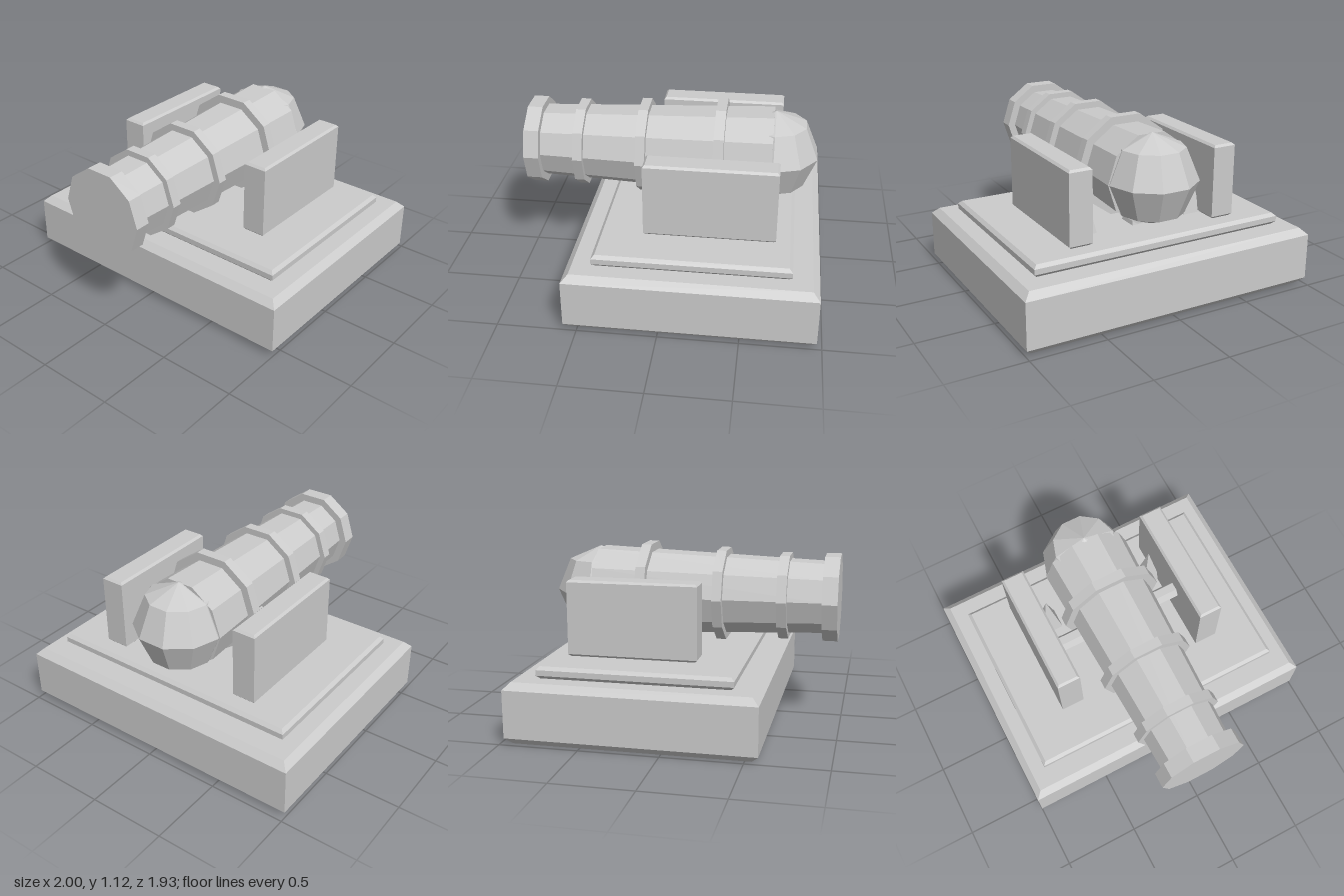
import * as THREE from 'three';

const material = new THREE.MeshStandardMaterial({ color: 0xcccccc, flatShading: true });

function add(parent, name, geometry, x, y, z) {
  const mesh = new THREE.Mesh(geometry, material);
  mesh.name = name;
  mesh.position.set(x, y, z);
  parent.add(mesh);
  return mesh;
}

// Box whose top and bottom edges are chamfered by b; upright edges stay sharp
function chamferedBox(w, h, d, b) {
  const geo = new THREE.BoxGeometry(w, h, d, 1, 3, 1);
  const p = geo.attributes.position;
  for (let i = 0; i < p.count; i++) {
    const y = p.getY(i);
    if (Math.abs(y) > h * 0.4) {
      p.setX(i, Math.sign(p.getX(i)) * (w / 2 - b));
      p.setZ(i, Math.sign(p.getZ(i)) * (d / 2 - b));
    } else {
      p.setY(i, Math.sign(y) * (h / 2 - b));
    }
  }
  geo.computeVertexNormals();
  return geo;
}

// Ten-sided drum along z, with corners at the left and right
function drum(frontRadius, backRadius, length) {
  const geo = new THREE.CylinderGeometry(frontRadius, backRadius, length, 10, 1, false, Math.PI / 2);
  return geo.rotateX(Math.PI / 2);
}

export function createModel() {
  const model = new THREE.Group();
  model.name = 'cannonOnPlinth';

  // Stepped plinth
  add(model, 'base', chamferedBox(2, 0.388, 1.552, 0.043), 0, 0.194, -0.192);
  add(model, 'plate', chamferedBox(1.73, 0.077, 1.22, 0.021), 0, 0.4265, -0.19);

  // Side cheeks
  for (const [side, name] of [[1, 'leftCheek'], [-1, 'rightCheek']]) {
    add(model, name, chamferedBox(0.155, 0.488, 0.83, 0.014), side * 0.508, 0.709, -0.275);
  }

  // Pointed supports under and beside the barrel
  for (const x of [-0.385, 0, 0.385]) {
    const spike = new THREE.ConeGeometry(0.065 * Math.SQRT2, 0.345, 4).rotateY(Math.PI / 4);
    add(model, 'support', spike, x, 0.6375, -0.47);
  }

  // Six-sided axle between the cheeks
  const axle = new THREE.CylinderGeometry(0.053, 0.053, 0.88, 6).rotateZ(Math.PI / 2);
  add(model, 'axle', axle, 0, 0.735, -0.192);

  // Barrel with its rings: [front z, back z, radius]
  const cannon = new THREE.Group();
  cannon.name = 'cannon';
  cannon.position.y = 0.8;
  model.add(cannon);
  add(cannon, 'barrel', drum(0.236, 0.297, 1.535), 0, 0, 0.1325);
  const rings = [
    ['muzzleRing', 0.966, 0.868, 0.288],
    ['frontRing', 0.645, 0.582, 0.286],
    ['middleRing', 0.235, 0.172, 0.309],
    ['rearRing', -0.265, -0.33, 0.338],
  ];
  for (const [name, front, back, r] of rings) {
    add(cannon, name, drum(r, r, front - back), 0, 0, (front + back) / 2);
  }

  // Rounded breech
  add(cannon, 'breech', new THREE.SphereGeometry(0.293, 10, 4), 0, 0, -0.645);

  return model;
}
